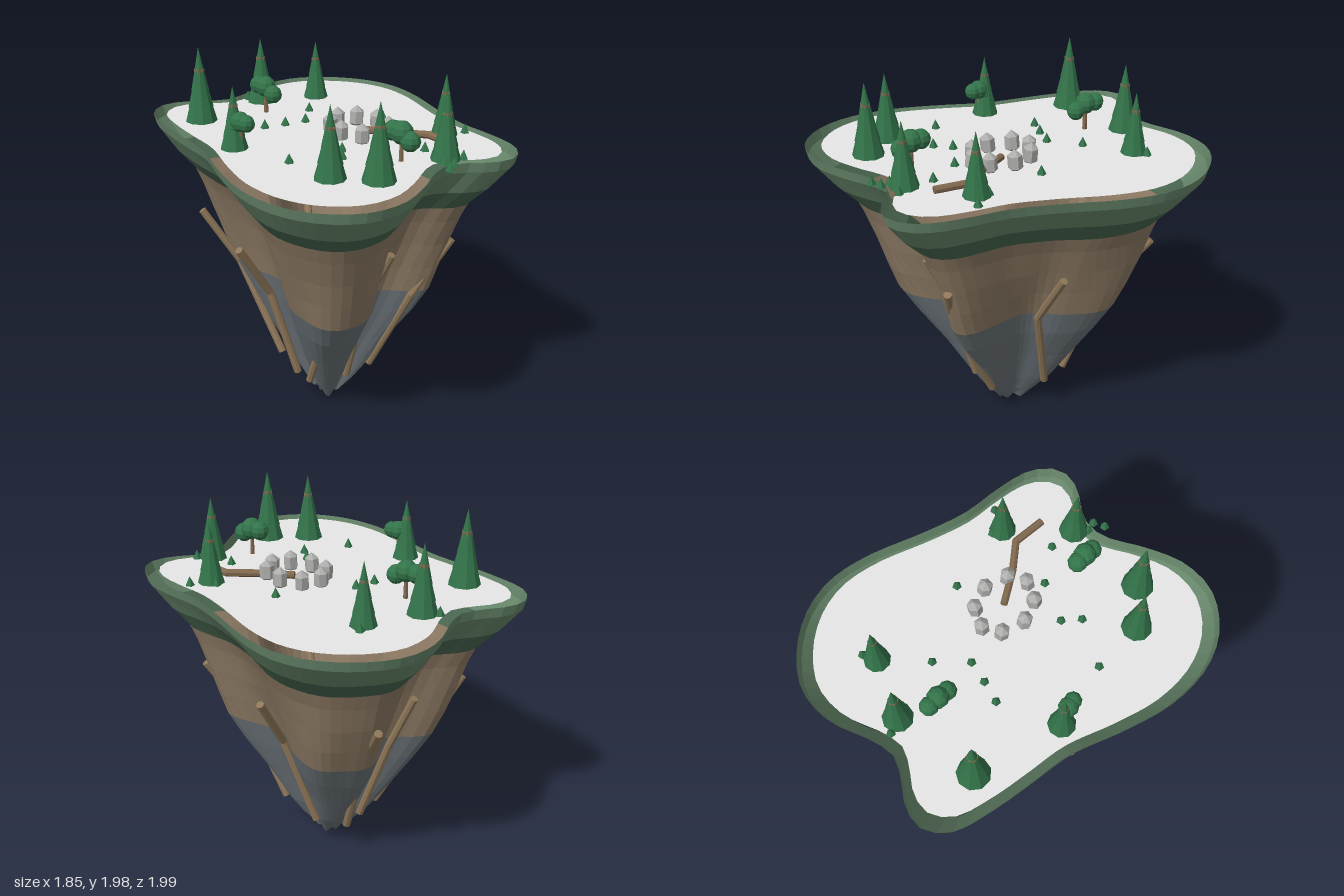
import * as THREE from 'three';

const mat = (name, color, side = THREE.FrontSide) => {
  const m = new THREE.MeshStandardMaterial({ color, side, flatShading: true });
  m.name = name;
  return m;
};

export function createModel() {
  const root = new THREE.Group();
  root.name = 'floatingIsland';
  const D = THREE.DoubleSide;
  const turf = mat('turf green', 0x66866a, D);
  const moss = mat('moss green', 0x48654e, D);
  const soil = mat('soil brown', 0x8c7963, D);
  const slate = mat('slate grey', 0x687075, D);
  const snow = mat('pale ground', 0xe6e6e6, D);
  const leaf = mat('foliage green', 0x33744a);
  const bark = mat('bark brown', 0x82694f);
  const rootWood = mat('root brown', 0x8e7759);
  const stone = mat('stone grey', 0xaeaeac);

  const add = (parent, name, geo, m, x = 0, y = 0, z = 0) => {
    const mesh = new THREE.Mesh(geo, m);
    mesh.name = name;
    mesh.position.set(x, y, z);
    parent.add(mesh);
    return mesh;
  };
  const group = (name, x = 0, y = 0, z = 0) => {
    const g = new THREE.Group();
    g.name = name;
    g.position.set(x, y, z);
    root.add(g);
    return g;
  };

  // Island outline in plan: [x, z]
  const outline = [
    [-0.2, -1], [-0.09, -0.96], [0.01, -0.86], [0.1, -0.785], [0.22, -0.775], [0.48, -0.81],
    [0.68, -0.755], [0.83, -0.6], [0.915, -0.4], [0.92, -0.2], [0.845, 0.01], [0.67, 0.3],
    [0.56, 0.51], [0.5, 0.71], [0.43, 0.88], [0.34, 0.97], [0.23, 0.99], [0.13, 0.93],
    [0.05, 0.84], [-0.04, 0.79], [-0.14, 0.79], [-0.34, 0.85], [-0.55, 0.88], [-0.74, 0.82],
    [-0.88, 0.65], [-0.925, 0.44], [-0.88, 0.19], [-0.76, -0.05], [-0.6, -0.31],
    [-0.52, -0.53], [-0.44, -0.74], [-0.33, -0.94],
  ];
  const N = 80;
  const plan = new THREE.CatmullRomCurve3(
    outline.map(([x, z]) => new THREE.Vector3(x, 0, z)), true).getSpacedPoints(N).slice(0, N);

  // Cross-section of the shell: [y, scale, depth of the folds, shift in x, shift in z]
  const ring = ([y, s, k, dx = 0, dz = 0]) => plan.map((p, i) => {
    const a = (i / N) * Math.PI * 2;
    const wobble = 1 + 0.06 * k * s * Math.sin(9 * a + y * 5) * Math.cos(4 * a - y * 3);
    const f = s * Math.pow(Math.hypot(p.x, p.z) / 1.02, k) * wobble;
    const ragged = y < 0.1 ? 0.015 * Math.sin(7 * a) : 0;
    return [p.x * f + dx, y + ragged, p.z * f + dz];
  });
  const band = (name, levels, m) => {
    const pos = levels.flatMap(l => ring(l)).flat();
    const idx = [];
    for (let r = 0; r < levels.length - 1; r++) {
      for (let i = 0; i < N; i++) {
        const j = (i + 1) % N, a = r * N + i, b = r * N + j;
        idx.push(a, b, a + N, b, b + N, a + N);
      }
    }
    const g = new THREE.BufferGeometry();
    g.setAttribute('position', new THREE.Float32BufferAttribute(pos, 3));
    g.setIndex(idx);
    g.computeVertexNormals();
    add(root, name, g, m);
  };
  band('turfRim', [[1.585, 1, 0], [1.53, 0.985, 0.02], [1.4, 0.88, 0.12]], turf);
  band('mossBand', [[1.4, 0.88, 0.12], [1.29, 0.77, 0.22, 0.01]], moss);
  band('soilLayer', [[1.29, 0.77, 0.22, 0.01], [1.2, 0.73, 0.35, 0.015], [1.05, 0.675, 0.5, 0.02],
    [0.9, 0.62, 0.65, 0.02], [0.75, 0.563, 0.8, 0.02]], soil);
  band('rockLayer', [[0.75, 0.563, 0.8, 0.02], [0.6, 0.48, 0.8, 0.02], [0.4, 0.35, 0.8, 0.015],
    [0.2, 0.225, 0.8, 0.01, 0.01], [0.1, 0.15, 0.7, 0, 0.02], [0.03, 0.09, 0.6, -0.01, 0.03],
    [0.04, 0.001, 0.6, -0.01, 0.03]], slate);

  // Ground disc, set inside the rim with an open gap around it
  const ground = new THREE.ShapeGeometry(
    new THREE.Shape(plan.map(p => new THREE.Vector2(p.x * 0.92, -p.z * 0.92))));
  ground.rotateX(-Math.PI / 2);
  const G = 1.585;
  add(root, 'ground', ground, snow, 0, G, 0);

  // Conifers: [x, z, radius, top]
  [[-0.26, -0.64, 0.087, 1.99], [0.205, -0.61, 0.08, 1.95], [0.465, -0.42, 0.07, 1.91],
    [-0.48, -0.2, 0.072, 1.91], [-0.52, 0.44, 0.08, 1.95], [-0.405, 0.64, 0.085, 1.975],
    [0.035, 0.73, 0.077, 1.925], [0.345, 0.53, 0.071, 1.915]].forEach(([x, z, r, top]) => {
    const h = top - G;
    const tree = group('conifer', x, G, z);
    add(tree, 'trunk', new THREE.CylinderGeometry(r * 0.33, r * 0.33, h * 0.71, 6), bark, 0, h * 0.355, 0);
    [[0, 0.78, 1], [0.2, 0.88, 0.79], [0.42, 1, 0.56]].forEach(([b, t, s]) =>
      add(tree, 'branches', new THREE.ConeGeometry(r * s, h * (t - b), 9), leaf, 0, h * (b + t) / 2, 0));
  });

  // Round trees: three leaf balls in a row on a trunk
  [[0.065, -0.455, 0.01, -0.06, 0.05], [-0.12, 0.572, 0.008, -0.056, 0.052],
    [-0.48, -0.155, 0, 0.04, 0.045]].forEach(([x, z, dx, dz, r]) => {
    const tree = group('roundTree', x, G, z);
    add(tree, 'trunk', new THREE.CylinderGeometry(0.01, 0.013, 0.14, 6), bark, 0, 0.07, 0);
    [-1, 0, 1].forEach(i =>
      add(tree, 'leafBall', new THREE.SphereGeometry(i ? r : r * 1.15, 9, 6), leaf,
        dx * i, i ? 0.13 + 0.015 * i : 0.147, dz * i));
  });

  // Tiny shrubs
  [[-0.15, -0.28], [-0.045, -0.225], [0.065, -0.175], [0.23, -0.28], [0.36, 0.13], [-0.475, 0.155],
    [-0.185, 0.26], [-0.27, 0.325], [-0.005, 0.39], [0.075, 0.585], [0.44, 0.6], [0.09, 0.8],
    [-0.03, 0.82], [-0.09, 0.835], [0.54, -0.44], [0.185, -0.695], [0.375, 0.48], [-0.03, 0.77],
  ].forEach(([x, z]) =>
    add(root, 'shrub', new THREE.ConeGeometry(0.025, 0.05, 5), leaf, x, G + 0.025, z));

  // Ring of standing stones
  [[0.02, 0.03], [0.12, 0], [0.205, 0.065], [0.225, 0.185], [0.165, 0.3], [0.065, 0.33],
    [-0.02, 0.265], [-0.04, 0.145]].forEach(([x, z], i) => {
    const s = add(root, 'stone', new THREE.SphereGeometry(0.045, 6, 3), stone, x, G + 0.04, z);
    s.scale.set(1, 1.45, 1);
    s.rotation.set(0.1 * Math.sin(i * 2), i * 1.3, 0.1 * Math.cos(i * 3));
  });

  // Sticks made of straight lengths with bends
  const stick = (name, pts, r, m) => {
    const v = pts.map(p => new THREE.Vector3(...p));
    const g = group(name);
    for (let i = 0; i < v.length - 1; i++) {
      const d = v[i + 1].clone().sub(v[i]);
      const c = v[i].clone().add(v[i + 1]).multiplyScalar(0.5);
      const part = add(g, 'length', new THREE.CylinderGeometry(r, r, d.length(), 8), m, c.x, c.y, c.z);
      part.quaternion.setFromUnitVectors(new THREE.Vector3(0, 1, 0), d.normalize());
      if (i) add(g, 'bend', new THREE.SphereGeometry(r, 8, 6), m, v[i].x, v[i].y, v[i].z);
    }
  };
  stick('fallenLog', [[0.1, 1.605, 0.17], [0.165, 1.605, 0.35], [0.243, 1.605, 0.5],
    [0.195, 1.605, 0.67]], 0.02, bark);

  // Hanging roots: top, bend and lower end
  [[[0.54, 0.13], [0.335, 0.12], [0.235, -0.025]],
    [[-0.1, 0.52], [-0.115, 0.36], [-0.08, 0.22]],
    [[0.26, 0.66], [0.115, 0.51], [0.1, 0.25]],
    [[-0.52, 0.47], [-0.33, 0.3], [-0.255, 0.1]],
    [[0.52, -0.54], [0.33, -0.36], [0.2, -0.2]],
    [[0.1, -0.54], [0.09, -0.4], [0.06, -0.21]],
    [[-0.27, -0.66], [-0.14, -0.5], [-0.11, -0.22]],
    [[-0.54, -0.14], [-0.335, -0.11], [-0.225, -0.01]]].forEach(path =>
    stick('root', path.map(([x, z], i) => [x, [1.05, 0.73, 0.21][i], z]), 0.022, rootWood));

  return root;
}
